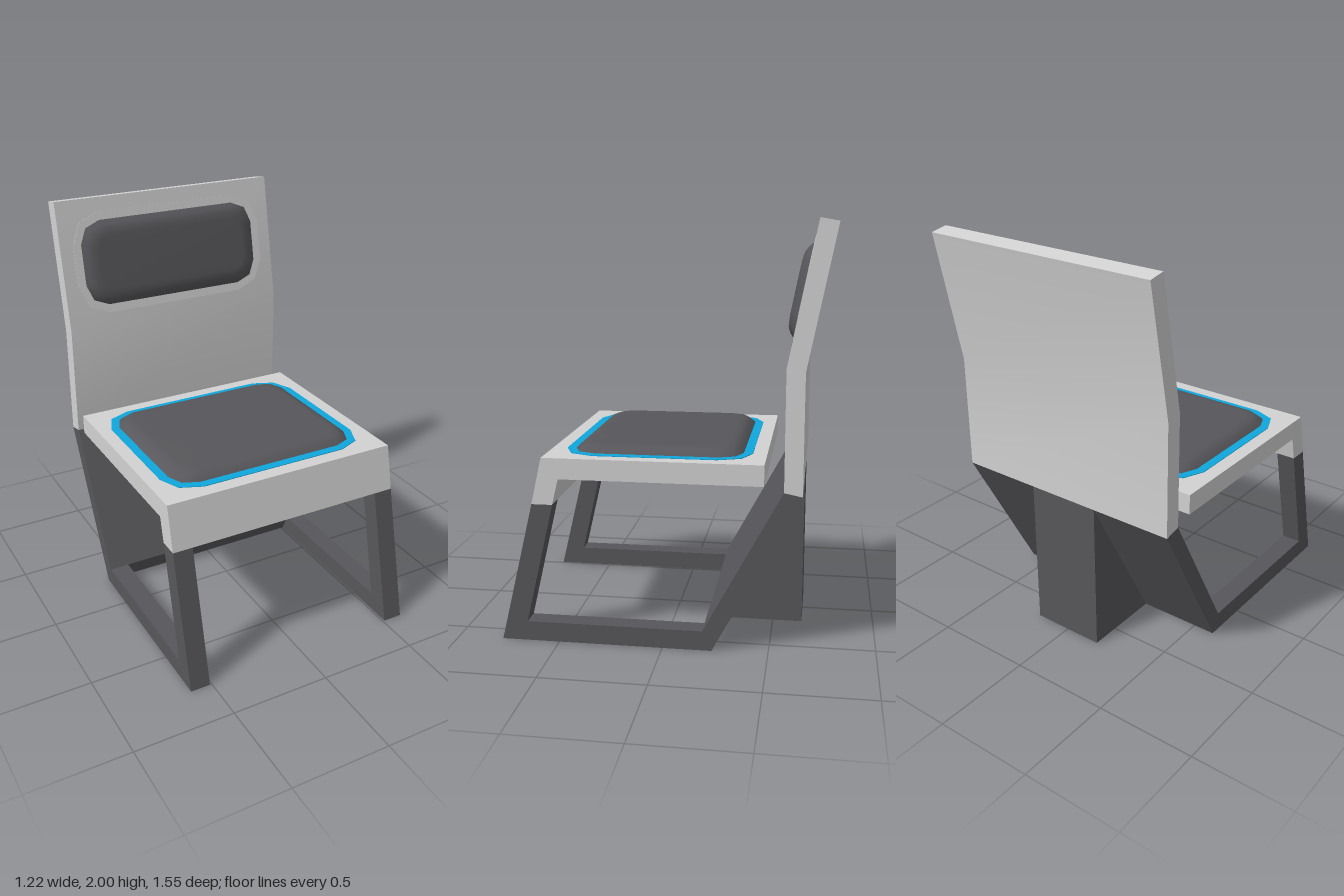
import * as THREE from 'three';
import { toCreasedNormals } from 'three/addons/utils/BufferGeometryUtils.js';

const mat = (name, color) => new THREE.MeshStandardMaterial({ name, color });

// Side profile of [z, y] points, extruded across x
function slab(name, points, width, material, x = 0) {
  const shape = new THREE.Shape(points.map(([z, y]) => new THREE.Vector2(z, y)));
  const geo = new THREE.ExtrudeGeometry(shape, { depth: width, bevelEnabled: false });
  geo.translate(0, 0, -width / 2).rotateY(-Math.PI / 2);
  const mesh = new THREE.Mesh(toCreasedNormals(geo, 0.4), material);
  mesh.name = name;
  mesh.position.x = x;
  return mesh;
}

// Rounded rectangle outline with two facets per corner
function outline(hx, hy, r) {
  const pts = [];
  [[1, 1], [-1, 1], [-1, -1], [1, -1]].forEach(([sx, sy], q) => {
    for (let i = 0; i <= 2; i++) {
      const a = (q + i / 2) * Math.PI / 2;
      pts.push(new THREE.Vector2(sx * (hx - r) + r * Math.cos(a), sy * (hy - r) + r * Math.sin(a)));
    }
  });
  return pts;
}

// Domed pad facing +z, lofted through inset outlines
function padGeometry(hx, hy) {
  const levels = [[0, 0], [0.025, 0.024], [0.05, 0.036], [0.085, 0.04]];
  const pos = [], idx = [], n = 12;
  for (const [inset, z] of levels) {
    for (const p of outline(hx - inset, hy - inset, 0.115 - inset * 0.6)) pos.push(p.x, p.y, z);
  }
  pos.push(0, 0, 0.04);
  const last = levels.length - 1;
  for (let i = 0; i < n; i++) {
    const j = (i + 1) % n;
    for (let k = 0; k < last; k++) {
      const a = k * n + i, b = k * n + j;
      idx.push(a, b, b + n, a, b + n, a + n);
    }
    idx.push(last * n + i, last * n + j, (last + 1) * n);
  }
  const geo = new THREE.BufferGeometry();
  geo.setAttribute('position', new THREE.Float32BufferAttribute(pos, 3));
  geo.setIndex(idx);
  geo.computeVertexNormals();
  return geo;
}

// Pad with a thin border ring around it
function cushion(name, hx, hy, padMaterial, ringMaterial) {
  const group = new THREE.Group();
  group.name = name;
  const pad = new THREE.Mesh(padGeometry(hx, hy), padMaterial);
  pad.name = name + 'Pad';
  const shape = new THREE.Shape(outline(hx + 0.04, hy + 0.04, 0.155));
  shape.holes.push(new THREE.Path(outline(hx - 0.005, hy - 0.005, 0.115)));
  const ring = new THREE.Mesh(
    new THREE.ExtrudeGeometry(shape, { depth: 0.003, bevelEnabled: false }), ringMaterial);
  ring.name = name + 'Border';
  group.add(pad, ring);
  return group;
}

export function createModel() {
  const light = mat('lightGrey', 0xd2d2d2);
  const dark = mat('darkGrey', 0x57575b);
  const blue = mat('blue', 0x0fa6dc);
  const model = new THREE.Group();
  model.name = 'chair';

  // Seat with folded front lip
  model.add(slab('seat', [
    [-0.47, 0.805], [0.49, 0.805], [0.52, 0.68], [0.62, 0.68], [0.57, 0.905], [-0.47, 0.905],
  ], 1.22, light));

  // Bent backrest
  model.add(slab('backrest', [
    [-0.56, 0.78], [-0.56, 1.345], [-0.69, 2], [-0.775, 1.985], [-0.645, 1.33], [-0.645, 0.763],
  ], 1.22, light));

  // Slanted rear panel and its supporting wedge
  model.add(slab('rearPanel', [
    [-0.235, 0], [-0.19, 0.095], [-0.56, 0.78], [-0.645, 0.763],
  ], 1.22, dark));
  model.add(slab('rearSupport', [[-0.235, 0], [-0.645, 0.763], [-0.645, 0]], 0.38, dark));

  // Front legs with floor rails
  for (const s of [-1, 1]) {
    model.add(slab(s > 0 ? 'leftLegFrame' : 'rightLegFrame', [
      [-0.235, 0], [0.78, 0], [0.62, 0.68], [0.52, 0.68], [0.655, 0.095], [-0.19, 0.095],
    ], 0.1, dark, s * 0.56));
  }

  // Cushions
  const seatCushion = cushion('seatCushion', 0.5, 0.41, dark, blue);
  seatCushion.rotation.x = -Math.PI / 2;
  seatCushion.position.set(0, 0.905, 0.048);
  const backCushion = cushion('backCushion', 0.5, 0.222, dark, light);
  backCushion.rotation.x = -0.196;
  backCushion.position.set(0, 1.672, -0.625);
  model.add(seatCushion, backCushion);
  return model;
}
